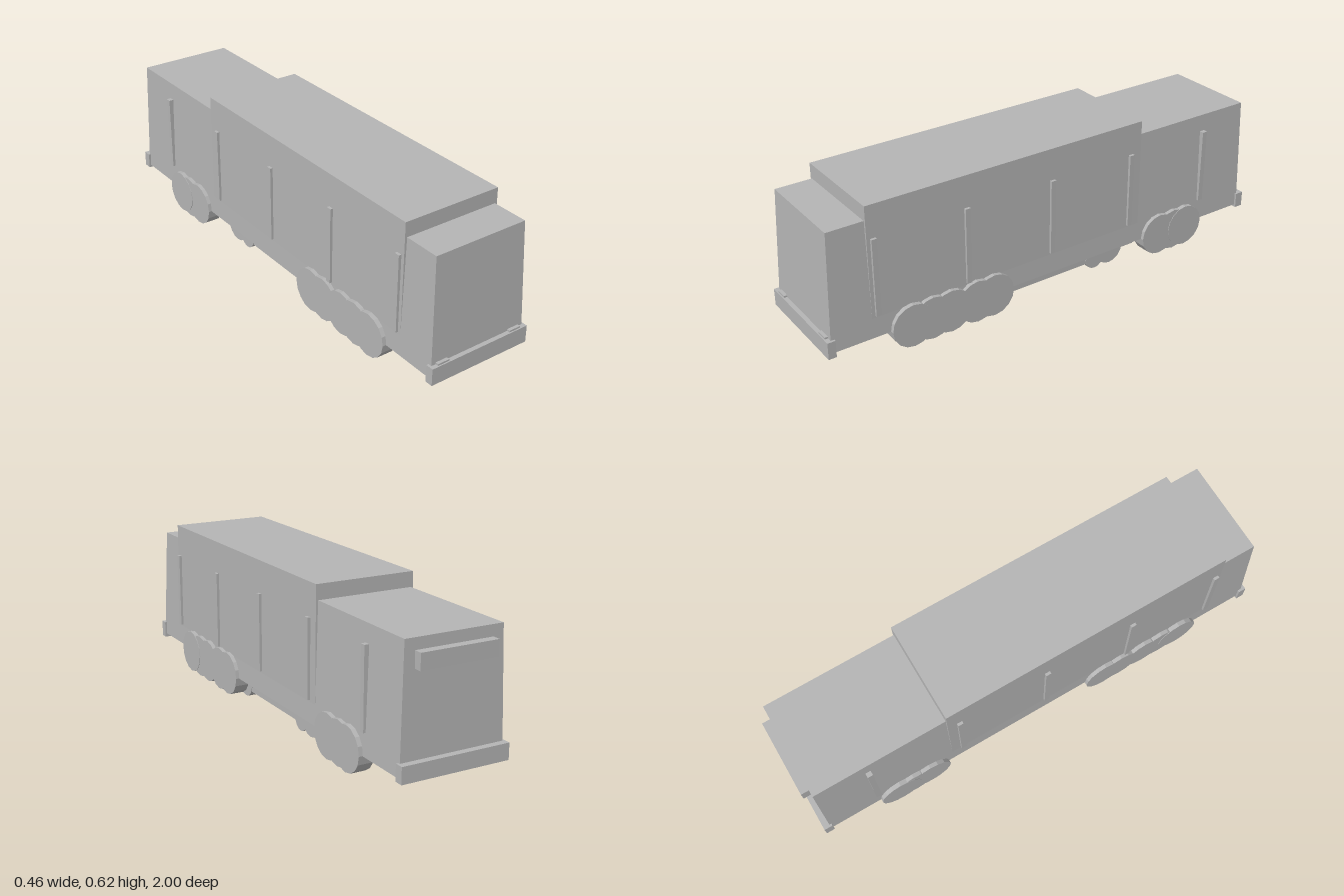
import * as THREE from 'three';

export function createModel() {
  const model = new THREE.Group();
  model.name = 'truck';
  const grey = new THREE.MeshStandardMaterial({ color: 0xb4b4b4, flatShading: true });
  grey.name = 'plain grey';

  const add = (name, geometry) => {
    const mesh = new THREE.Mesh(geometry, grey);
    mesh.name = name;
    model.add(mesh);
    return mesh;
  };

  // Box given by its limits on each axis
  const box = (name, x0, x1, y0, y1, z0, z1) => {
    const g = new THREE.BoxGeometry(x1 - x0, y1 - y0, z1 - z0);
    g.translate((x0 + x1) / 2, (y0 + y1) / 2, (z0 + z1) / 2);
    return add(name, g);
  };

  // Box with its own half width, back and front at the bottom and at the top
  const taperedBox = (name, y0, y1, bottom, top) => {
    const g = new THREE.BoxGeometry(1, 1, 1);
    const p = g.attributes.position;
    for (let i = 0; i < p.count; i++) {
      const up = p.getY(i) > 0;
      const [half, back, front] = up ? top : bottom;
      p.setXYZ(i, Math.sign(p.getX(i)) * half, up ? y1 : y0, p.getZ(i) > 0 ? front : back);
    }
    g.computeVertexNormals();
    return add(name, g);
  };

  // Hull: a long tapered body with a taller section over the middle
  taperedBox('lowerBody', 0.09, 0.565, [0.212, -0.975, 0.985], [0.198, -0.966, 0.963]);
  taperedBox('raisedBody', 0.1, 0.625, [0.21, -0.415, 0.815], [0.207, -0.415, 0.815]);

  // Bumpers and the bar across the back
  box('frontBumper', -0.22, 0.22, 0.075, 0.144, 0.968, 1);
  box('rearBumper', -0.22, 0.22, 0.08, 0.144, -1, -0.965);
  box('rearBar', -0.157, 0.157, 0.46, 0.522, -1, -0.96);

  // Underframe in two steps
  box('underframe', -0.165, 0.165, 0.052, 0.1, -0.43, 0.32);
  box('underframeKeel', -0.165, 0.165, 0.032, 0.06, -0.2, 0.27);

  // Wheel given by its centre, radius and side limits
  const wheel = (name, side, z, radius, inner, outer) => {
    const g = new THREE.CylinderGeometry(radius, radius, outer - inner, 16);
    g.rotateZ(Math.PI / 2);
    g.translate(side * (inner + outer) / 2, radius + 0.002, z);
    add(name, g);
  };

  for (const side of [1, -1]) {
    const label = side > 0 ? 'left' : 'right';
    const span = (a, b) => (side > 0 ? [a, b] : [-b, -a]);

    // Vertical ribs along the wall
    for (const z of [0.79, 0.405, 0.02, -0.365, -0.75]) {
      box(label + 'Rib', ...span(0.19, 0.219), 0.18, 0.494, z - 0.011, z + 0.011);
    }

    // Small blocks on the front bumper
    box(label + 'BumperBlock', ...span(0.141, 0.191), 0.13, 0.151, 0.968, 0.995);

    // Outer wheels, overlapping in a front and a rear row
    [0.655, 0.57, 0.49, 0.375, 0.3, -0.525, -0.6, -0.66].forEach((z, i) => {
      wheel(label + 'Wheel', side, z, 0.089, 0.165, i === 0 || i === 7 ? 0.228 : 0.226);
    });

    // Small inner wheels beside the underframe
    for (const [z, r] of [[0.24, 0.055], [0.3, 0.06], [-0.23, 0.045], [-0.305, 0.065]]) {
      wheel(label + 'InnerWheel', side, z, r, 0.105, 0.167);
    }
  }

  return model;
}
